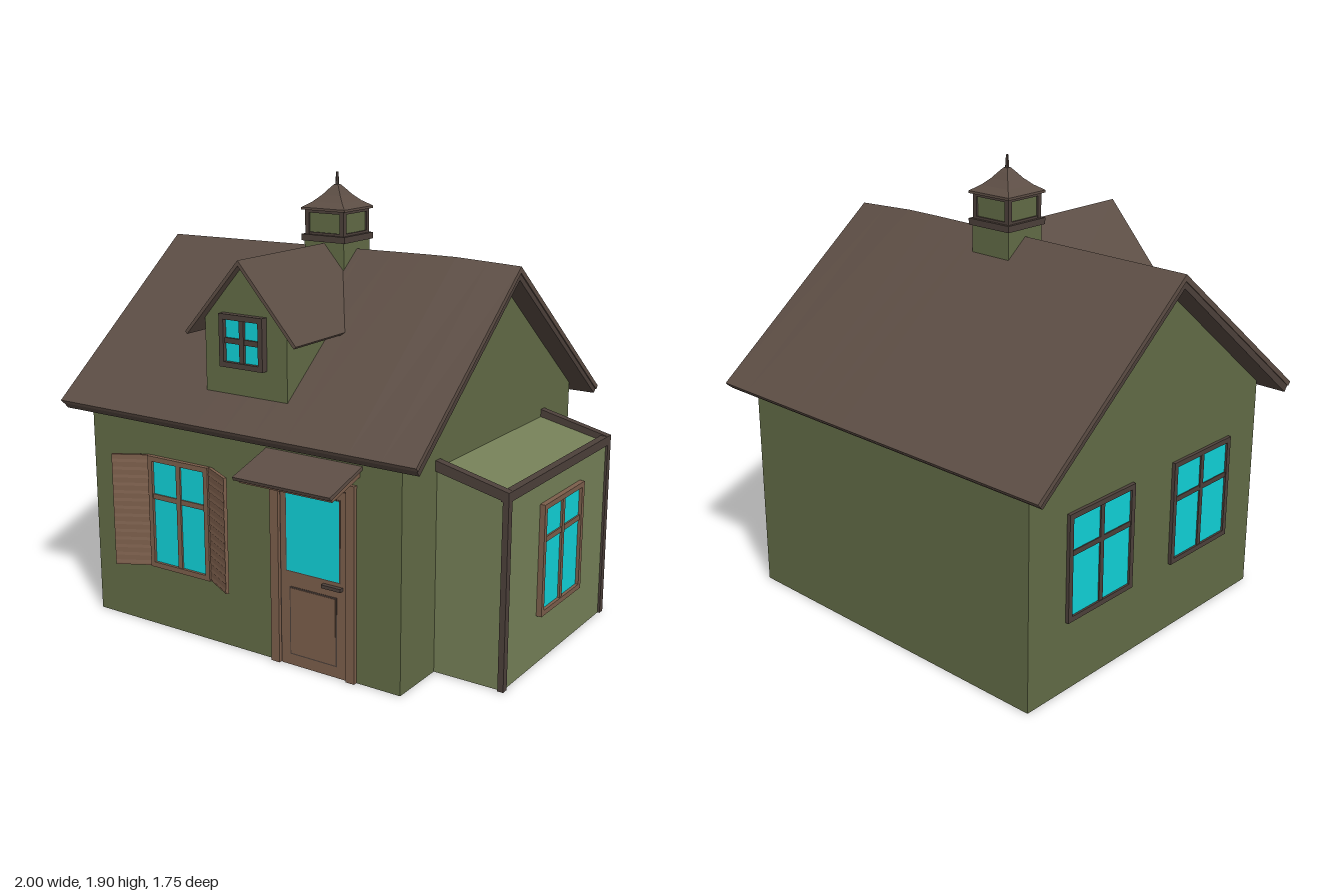
import * as THREE from 'three';

const paint = (color) => new THREE.MeshStandardMaterial({ color, flatShading: true });

export function createModel() {
  const house = new THREE.Group();
  house.name = 'cottage';
  const green = paint(0x616a45), paleGreen = paint(0x747e56), roofBrown = paint(0x5c4d44);
  const trim = paint(0x4b3f39), wood = paint(0x7a5d4a), glass = paint(0x10d0d6);

  const add = (parent, name, geo, mat) => {
    const m = new THREE.Mesh(geo, mat);
    m.name = name;
    parent.add(m);
    return m;
  };
  // Box given by its limits
  const box = (parent, name, mat, x0, x1, y0, y1, z0, z1) => {
    const m = add(parent, name, new THREE.BoxGeometry(x1 - x0, y1 - y0, z1 - z0), mat);
    m.position.set((x0 + x1) / 2, (y0 + y1) / 2, (z0 + z1) / 2);
    return m;
  };
  const group = (name, parent = house) => {
    const g = new THREE.Group();
    g.name = name;
    parent.add(g);
    return g;
  };
  // Prism of an [x, y] outline running along z
  const prismZ = (pts, z0, z1, steps = 1) => {
    const shape = new THREE.Shape(pts.map(([x, y]) => new THREE.Vector2(x, y)));
    return new THREE.ExtrudeGeometry(shape, { depth: z1 - z0, steps, bevelEnabled: false }).translate(0, 0, z0);
  };
  // Prism of a [z, y] outline running along x
  const prismX = (pts, x0, x1, steps) =>
    prismZ(pts.map(([z, y]) => [-z, y]), x0, x1, steps).rotateY(Math.PI / 2);

  // Four-pane window facing +z, its back on the local z = 0 plane
  const makeWindow = (name, w, h, split, bar, depth, frameMat) => {
    const g = group(name);
    const W = w / 2, H = h / 2, s = H - h * split;
    box(g, 'panes', glass, -W + bar / 2, W - bar / 2, -H + bar / 2, H - bar / 2, 0, depth * 0.4);
    for (const x of [-W, W - bar]) box(g, 'sideFrame', frameMat, x, x + bar, -H, H, 0, depth);
    for (const y of [-H, H - bar]) box(g, 'crossFrame', frameMat, -W + bar, W - bar, y, y + bar, 0, depth);
    box(g, 'uprightBar', frameMat, -bar / 2, bar / 2, -H + bar, H - bar, 0, depth * 0.8);
    box(g, 'crossBar', frameMat, -W + bar, W - bar, s - bar / 2, s + bar / 2, 0, depth * 0.7);
    return g;
  };

  // Main walls with gables
  add(house, 'walls', prismX([[0.66, 0], [0.66, 0.945], [-0.06, 1.545], [-0.78, 0.945], [-0.78, 0]], -0.88, 0.67), green);

  // Roof in two layers, with a slightly sagging ridge
  const sag = (geo) => {
    const p = geo.attributes.position;
    for (let i = 0; i < p.count; i++) {
      const x = p.getX(i), y = p.getY(i);
      const drop = x < 0.45 ? (0.45 - x) / 1.45 : (x - 0.45) / 0.32;
      p.setY(i, y - 0.014 * drop * Math.max(0, (y - 0.93) / 0.65));
    }
    geo.computeVertexNormals();
    return geo;
  };
  add(house, 'roof', sag(prismX([[0.73, 0.947], [-0.06, 1.587], [-0.87, 0.925],
    [-0.857, 0.91], [-0.06, 1.56], [0.716, 0.931]], -1, 0.77, 12)), roofBrown);
  add(house, 'roofEdging', sag(prismX([[0.716, 0.931], [-0.06, 1.56], [-0.857, 0.91],
    [-0.84, 0.896], [-0.06, 1.53], [0.697, 0.908]], -0.995, 0.765, 12)), trim);

  // Dormer
  const dormer = group('dormer');
  add(dormer, 'dormerWalls', prismZ([[-0.305, 1.06], [0.1, 1.06], [0.1, 1.36],
    [-0.105, 1.59], [-0.305, 1.36]], 0, 0.59), green);
  add(dormer, 'dormerRoof', prismZ([[-0.38, 1.3], [-0.37, 1.29], [-0.105, 1.588],
    [0.16, 1.29], [0.17, 1.3], [-0.105, 1.61]], -0.05, 0.628), roofBrown);
  const dormerWindow = makeWindow('dormerWindow', 0.215, 0.215, 0.5, 0.022, 0.03, trim);
  dormerWindow.position.set(-0.105, 1.283, 0.59);

  // Cupola on the ridge
  const cupola = group('cupola');
  cupola.position.set(-0.105, 0, -0.06);
  const square = (name, mat, half, y0, y1) => box(cupola, name, mat, -half, half, y0, y1, -half, half);
  square('cupolaBase', green, 0.1, 1.42, 1.618);
  square('lowerBand', trim, 0.11, 1.615, 1.642);
  square('lantern', green, 0.09, 1.64, 1.745);
  square('lanternSill', trim, 0.097, 1.642, 1.652);
  square('lanternHead', trim, 0.097, 1.733, 1.745);
  for (const sx of [-1, 1]) for (const sz of [-1, 1])
    box(cupola, 'cornerPost', trim, sx * 0.088 - 0.01, sx * 0.088 + 0.01, 1.64, 1.745, sz * 0.088 - 0.01, sz * 0.088 + 0.01);
  const spire = [[0, 1.745], [0.11, 1.745], [0.11, 1.755], [0.075, 1.778], [0.046, 1.805], [0.024, 1.832], [0.01, 1.848], [0, 1.85]]
    .map(([half, y]) => new THREE.Vector2(half * Math.SQRT2, y));
  add(cupola, 'cupolaRoof', new THREE.LatheGeometry(spire, 4, Math.PI / 4), roofBrown);
  add(cupola, 'finial', new THREE.CylinderGeometry(0.005, 0.009, 0.06, 6), trim).position.y = 1.87;

  // Front window with angled louvred shutters
  const frontWindow = makeWindow('frontWindow', 0.32, 0.49, 0.36, 0.022, 0.02, wood);
  frontWindow.position.set(-0.403, 0.515, 0.66);
  for (const s of [-1, 1]) {
    const shutter = group('shutter');
    shutter.position.set(-0.403 + s * 0.162, 0.515, 0.665);
    shutter.rotation.y = -s * 0.5;
    const mid = s * 0.08;
    box(shutter, 'shutterBoard', wood, mid - 0.08, mid + 0.08, -0.245, 0.245, -0.008, 0.006);
    for (let i = 0; i < 14; i++) {
      const slat = box(shutter, 'slat', wood, mid - 0.078, mid + 0.078, -0.013, 0.013, 0, 0.006);
      slat.position.y = -0.224 + i * 0.0345;
      slat.rotation.x = -0.15;
    }
  }

  // Windows on the plain gable end
  for (const z of [-0.375, 0.27]) {
    const w = makeWindow('gableWindow', 0.39, 0.45, 0.37, 0.022, 0.015, trim);
    w.position.set(-0.88, 0.522, z);
    w.rotation.y = -Math.PI / 2;
  }

  // Front door
  const door = group('door');
  for (const x of [0.07, 0.43]) box(door, 'doorJamb', wood, x, x + 0.04, 0, 0.81, 0.655, 0.678);
  box(door, 'doorHeader', wood, 0.11, 0.43, 0.78, 0.81, 0.655, 0.678);
  box(door, 'doorShadowGap', trim, 0.11, 0.43, 0, 0.78, 0.655, 0.662);
  box(door, 'doorLeaf', wood, 0.116, 0.424, 0, 0.773, 0.655, 0.666);
  box(door, 'doorGlassEdge', trim, 0.14, 0.4, 0.4, 0.74, 0.655, 0.668);
  box(door, 'doorGlass', glass, 0.145, 0.395, 0.405, 0.735, 0.655, 0.67);
  box(door, 'doorPanelEdge', trim, 0.157, 0.383, 0.047, 0.338, 0.655, 0.668);
  box(door, 'doorPanel', wood, 0.163, 0.377, 0.053, 0.332, 0.655, 0.67);
  box(door, 'doorHandle', trim, 0.32, 0.41, 0.372, 0.386, 0.665, 0.685);

  // Canopy above the door
  add(house, 'canopy', prismX([[0.65, 0.893], [0.65, 0.878], [0.87, 0.812], [0.876, 0.826]], 0.045, 0.495), roofBrown);
  add(house, 'canopyUnderside', prismX([[0.65, 0.878], [0.65, 0.85], [0.845, 0.797], [0.85, 0.818]], 0.055, 0.485), wood);

  // Side bay, open below, with a sloping roof
  const bay = group('sideBay');
  for (const z of [0.395, -0.515]) {
    add(bay, 'bayCheek', prismZ([[0.66, 0], [0.97, 0], [0.97, 0.77], [0.66, 0.84]], z, z + 0.01), paleGreen);
    add(bay, 'baySlopeTrim', prismZ([[0.66, 0.84], [0.985, 0.766], [0.985, 0.807], [0.66, 0.883]],
      z > 0 ? 0.382 : -0.53, z > 0 ? 0.417 : -0.495), trim);
    box(bay, 'bayCornerPost', trim, 0.96, 0.985, 0, 0.79, z > 0 ? 0.387 : -0.53, z > 0 ? 0.417 : -0.5);
  }
  box(bay, 'bayFace', paleGreen, 0.965, 0.975, 0, 0.78, -0.515, 0.405);
  box(bay, 'bayTopTrim', trim, 0.952, 0.985, 0.768, 0.807, -0.53, 0.417);
  add(bay, 'bayRoof', prismZ([[0.66, 0.83], [0.97, 0.765], [0.97, 0.783], [0.66, 0.85]], -0.515, 0.405), paleGreen);
  const bayWindow = makeWindow('bayWindow', 0.37, 0.47, 0.325, 0.022, 0.023, wood);
  bayWindow.position.set(0.975, 0.445, -0.06);
  bayWindow.rotation.y = Math.PI / 2;

  return house;
}
